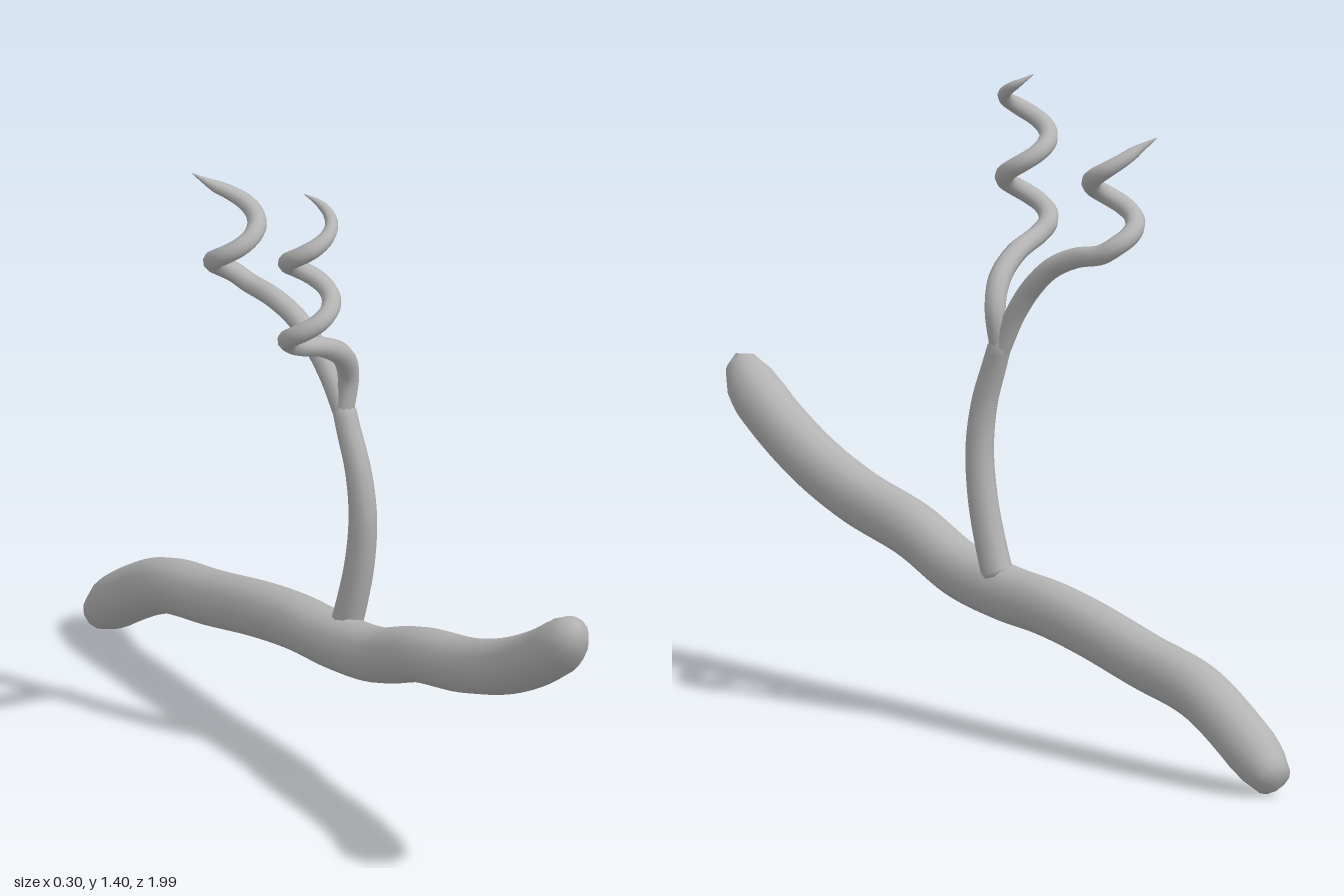
import * as THREE from 'three';
import { mergeVertices } from 'three/addons/utils/BufferGeometryUtils.js';

const grey = new THREE.MeshStandardMaterial({ color: 0xb4b4b4 });
grey.name = 'grey';

// Linear interpolation through [position, radius] stops
function radiusAt(stops, u) {
  for (let i = 1; i < stops.length; i++) {
    const [a, ra] = stops[i - 1];
    const [b, rb] = stops[i];
    if (u <= b) return ra + ((rb - ra) * (u - a)) / (b - a);
  }
  return stops[stops.length - 1][1];
}

// Smooth tube whose radius varies along its length
function taperedTube(name, points, stops, segments, sides) {
  const curve = new THREE.CatmullRomCurve3(points.map((p) => new THREE.Vector3(...p)));
  const geo = new THREE.TubeGeometry(curve, segments, 1, sides, false);
  const pos = geo.attributes.position;
  const v = new THREE.Vector3();
  for (let i = 0; i <= segments; i++) {
    const u = i / segments;
    const centre = curve.getPointAt(u);
    const r = radiusAt(stops, u);
    for (let j = 0; j <= sides; j++) {
      const k = i * (sides + 1) + j;
      v.fromBufferAttribute(pos, k).sub(centre).multiplyScalar(r).add(centre);
      pos.setXYZ(k, v.x, v.y, v.z);
    }
  }
  geo.deleteAttribute('normal');
  geo.deleteAttribute('uv');
  const merged = mergeVertices(geo, 1e-5);
  merged.computeVertexNormals();
  const mesh = new THREE.Mesh(merged, grey);
  mesh.name = name;
  return mesh;
}

// Points of a coil climbing around a vertical axis, from turn t0 to t1
function coil(cx, cz, y0, radius, pitch, t0, t1) {
  const pts = [];
  const n = Math.round((t1 - t0) * 10);
  for (let i = 0; i <= n; i++) {
    const t = t0 + ((t1 - t0) * i) / n;
    const a = t * Math.PI * 2;
    pts.push([cx + radius * Math.cos(a), y0 + pitch * t, cz - radius * Math.sin(a)]);
  }
  return pts;
}

export function createModel() {
  const group = new THREE.Group();
  group.name = 'vineBranch';

  // Thick sloping branch with blunt ends
  const branch = [
    [0.99, 0.69], [0.9, 0.605], [0.73, 0.51], [0.55, 0.447], [0.34, 0.402], [0.17, 0.343],
    [0, 0.318], [-0.15, 0.309], [-0.3, 0.288], [-0.5, 0.248], [-0.7, 0.21], [-0.85, 0.137], [-0.99, 0.045],
  ].map(([z, y]) => [0.085, y, z]);
  group.add(taperedTube('branch', branch,
    [[0, 0], [0.0125, 0.036], [0.0375, 0.056], [0.06, 0.062], [0.94, 0.062], [0.9625, 0.056], [0.9875, 0.042], [1, 0]],
    80, 12));

  // Upright stem
  group.add(taperedTube('stem', [
    [0.1, 0.345, 0.01], [0.105, 0.42, 0.033], [0.11, 0.52, 0.056], [0.109, 0.63, 0.069],
    [0.103, 0.73, 0.06], [0.095, 0.82, 0.033], [0.092, 0.9, 0.003],
  ], [[0, 0], [0.02, 0.035], [0.5, 0.031], [0.92, 0.026], [1, 0.012]], 50, 10));

  // Two curling tendrils
  group.add(taperedTube('frontTendril', [
    [0.092, 0.85, 0.018], [0.1, 0.94, 0.025], [0.07, 1.0, 0.05], [0.005, 1.045, 0.08],
    ...coil(-0.08, 0.155, 1.03, 0.048, 0.18, 0.25, 2.2),
  ], [[0, 0.022], [0.15, 0.025], [0.3, 0.022], [0.82, 0.02], [0.95, 0.011], [1, 0.001]], 130, 10));
  group.add(taperedTube('backTendril', [
    [0.092, 0.85, 0.018], [0.078, 0.93, -0.015], [0.062, 0.995, -0.055], [0.045, 1.045, -0.105],
    [0.025, 1.075, -0.165],
    ...coil(-0.04, -0.215, 1.08, 0.048, 0.18, 0.06, 1.2),
    [-0.065, 1.32, -0.272], [-0.1, 1.345, -0.292],
  ], [[0, 0.022], [0.2, 0.024], [0.4, 0.022], [0.8, 0.021], [0.93, 0.014], [1, 0.001]], 110, 10));

  return group;
}
